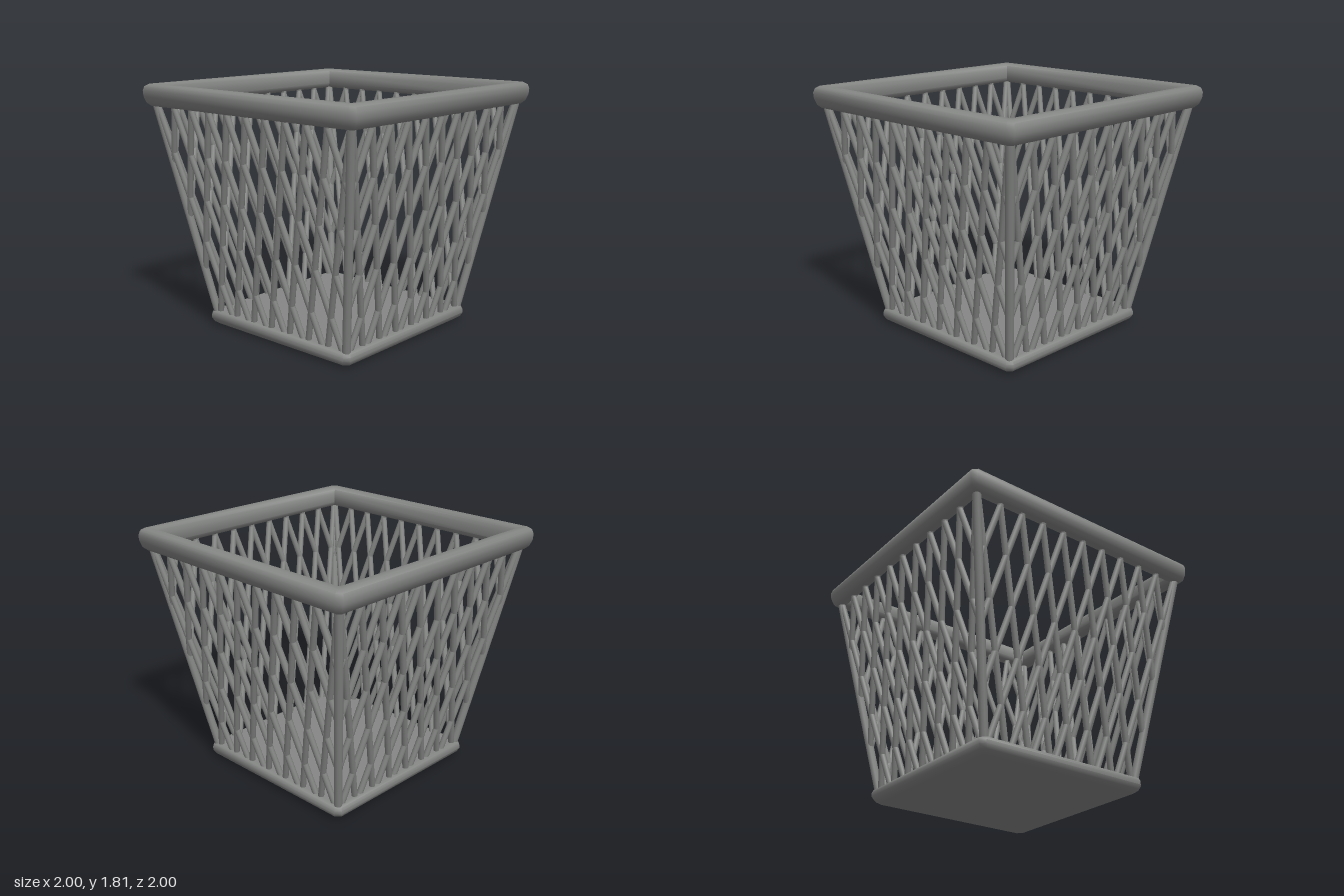
import * as THREE from 'three';
import { toCreasedNormals } from 'three/addons/utils/BufferGeometryUtils.js';

const material = new THREE.MeshStandardMaterial({ color: 0x858785 });

// Half width of the tapering walls at height y
const TAPER = 0.177, MID = 0.8;
const halfWidth = (y) => MID + TAPER * (y - 1);

// Sweeps a profile of [half width, y] around a square;
// corners are clipped more the further the profile lies outside the inner half width
function squareRing(name, inner, clip, profile) {
  const geo = new THREE.LatheGeometry(profile.map(([r, y]) => new THREE.Vector2(r, y)), 8);
  const pos = geo.attributes.position;
  const n = profile.length;
  for (let i = 0; i <= 8; i++) {
    for (let j = 0; j < n; j++) {
      const [r, y] = profile[j];
      const a = r - clip * (r - inner);
      const corners = [[a, r], [r, a], [r, -a], [a, -r], [-a, -r], [-r, -a], [-r, a], [-a, r]];
      const [x, z] = corners[i % 8];
      pos.setXYZ(i * n + j, x, y, z);
    }
  }
  const mesh = new THREE.Mesh(toCreasedNormals(geo, 0.9), material);
  mesh.name = name;
  return mesh;
}

// Round bar between two points
function bar(name, from, to, radius) {
  const dir = to.clone().sub(from);
  const mesh = new THREE.Mesh(new THREE.CylinderGeometry(radius, radius, dir.length(), 10), material);
  mesh.position.copy(from).add(to).multiplyScalar(0.5);
  mesh.quaternion.setFromUnitVectors(new THREE.Vector3(0, 1, 0), dir.normalize());
  mesh.name = name;
  return mesh;
}

// One wall of crossing diagonal rods, clipped to the tapering outline
function latticeWall() {
  const wall = new THREE.Group();
  const slope = 0.277, spacing = 0.181;
  for (const m of [slope, -slope]) {
    for (let k = -7; k <= 7; k++) {
      const x0 = k * spacing;
      let low = -0.91, high = 0.71; // heights measured from y = 1
      for (const side of [1, -1]) {
        const rate = side * m - TAPER;
        const limit = (MID - side * x0) / rate;
        if (rate > 0) high = Math.min(high, limit);
        else low = Math.max(low, limit);
      }
      if (high - low < 0.1) continue;
      const at = (t) => new THREE.Vector3(x0 + m * t, 1 + t, halfWidth(1 + t));
      wall.add(bar('latticeRod', at(low), at(high), 0.022));
    }
  }
  return wall;
}

export function createModel() {
  const model = new THREE.Group();
  model.name = 'wasteBasket';

  // Solid base plate with rounded edge and flat faces
  model.add(squareRing('base', 0, 0.05, [
    [0, 0.005], [0.59, 0.005], [0.61, 0.005], [0.645, 0.014], [0.675, 0.035], [0.69, 0.065],
    [0.69, 0.09], [0.682, 0.11], [0.665, 0.12], [0.65, 0.12], [0, 0.12],
  ]));

  // Thick rounded rim with sharp inner corners
  model.add(squareRing('rim', 0.88, 0.28, [
    [0.88, 1.77], [0.88, 1.7], [0.895, 1.67], [0.92, 1.66], [0.955, 1.66], [0.982, 1.685],
    [0.997, 1.73], [1, 1.77], [0.99, 1.8], [0.965, 1.815], [0.915, 1.815], [0.89, 1.8], [0.88, 1.77],
  ]));

  // Four lattice walls, each with a corner post
  const names = ['frontWall', 'leftWall', 'backWall', 'rightWall'];
  names.forEach((name, i) => {
    const wall = latticeWall();
    const corner = (y) => new THREE.Vector3(halfWidth(y), y, halfWidth(y));
    wall.add(bar('cornerPost', corner(0.08), corner(1.72), 0.03));
    wall.rotation.y = i * Math.PI / 2;
    wall.name = name;
    model.add(wall);
  });

  return model;
}
